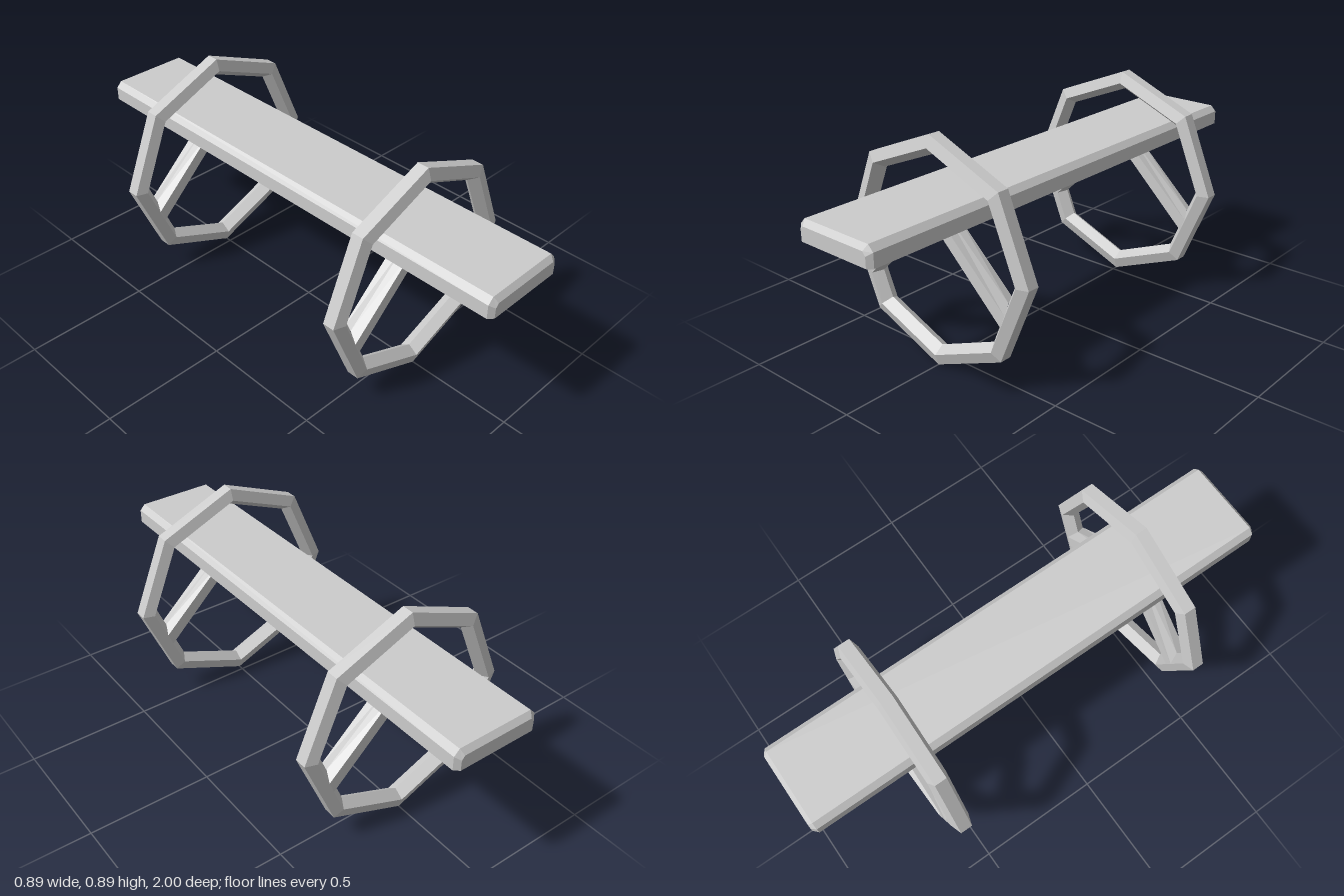
import * as THREE from 'three';

const material = new THREE.MeshStandardMaterial({ color: 0xcccccc, flatShading: true });

// Skin a list of equal-length point loops (counter-clockwise seen from the last one)
function loft(sections, capped) {
  const pos = [];
  const tri = (a, b, c) => pos.push(...a, ...b, ...c);
  const n = sections[0].length;
  for (let i = 0; i < sections.length - 1; i++) {
    const p = sections[i], q = sections[i + 1];
    for (let j = 0; j < n; j++) {
      const k = (j + 1) % n;
      tri(p[j], p[k], q[k]);
      tri(p[j], q[k], q[j]);
    }
  }
  if (capped) {
    const first = sections[0], last = sections[sections.length - 1];
    for (let j = 1; j < n - 1; j++) {
      tri(first[0], first[j + 1], first[j]);
      tri(last[0], last[j], last[j + 1]);
    }
  }
  const geometry = new THREE.BufferGeometry();
  geometry.setAttribute('position', new THREE.Float32BufferAttribute(pos, 3));
  geometry.computeVertexNormals();
  return geometry;
}

function addMesh(parent, name, geometry) {
  const mesh = new THREE.Mesh(geometry, material);
  mesh.name = name;
  parent.add(mesh);
  return mesh;
}

const RING_Y = 0.443, TUBE = 0.041, RING_R = 0.41;

// Octagonal ring with a pentagonal section, its ridge pointing inward
function ringGeometry() {
  const profile = [];
  for (let i = 0; i <= 5; i++) {
    const a = -Math.PI / 5 + (i * Math.PI * 2) / 5;
    profile.push(new THREE.Vector2(RING_R + TUBE * Math.cos(a), TUBE * Math.sin(a)));
  }
  return new THREE.LatheGeometry(profile, 8).rotateX(Math.PI / 2).translate(0, RING_Y, 0);
}

// Arched brace: its ends follow the ridged inner side of the ring
function braceGeometry() {
  const h = TUBE * 0.951;
  const section = (side, [mt, ft, fb, mb]) => [
    [side * mt[0], mt[1], 0], [side * ft[0], ft[1], h], [side * fb[0], fb[1], h],
    [side * mb[0], mb[1], 0], [side * fb[0], fb[1], -h], [side * ft[0], ft[1], -h],
  ];
  const foot = [[0.331, 0.354], [0.347, 0.326], [0.327, 0.276], [0.303, 0.283]];
  const knee = [[0.059, 0.593], [0.059, 0.593], [0.061, 0.53], [0.061, 0.53]];
  return loft([section(-1, foot), section(-1, knee), section(1, knee), section(1, foot)], false);
}

// Long plank with bevelled upper edges and ends
function plankGeometry() {
  const section = (z, w, shoulder, topW, top) => [
    [-w, 0.593, z], [w, 0.593, z], [w, shoulder, z],
    [topW, top, z], [-topW, top, z], [-w, shoulder, z],
  ];
  const end = [0.159, 0.635, 0.147, 0.65], body = [0.178, 0.648, 0.156, 0.671];
  return loft([
    section(-1, ...end), section(-0.983, ...body),
    section(0.983, ...body), section(1, ...end),
  ], true);
}

export function createModel() {
  const model = new THREE.Group();
  model.name = 'bench';
  addMesh(model, 'seatPlank', plankGeometry());

  // Front and back supports
  for (const [name, z] of [['frontSupport', 0.546], ['backSupport', -0.546]]) {
    const support = new THREE.Group();
    support.name = name;
    support.position.z = z;
    addMesh(support, 'ring', ringGeometry());
    addMesh(support, 'brace', braceGeometry());
    model.add(support);
  }
  return model;
}
